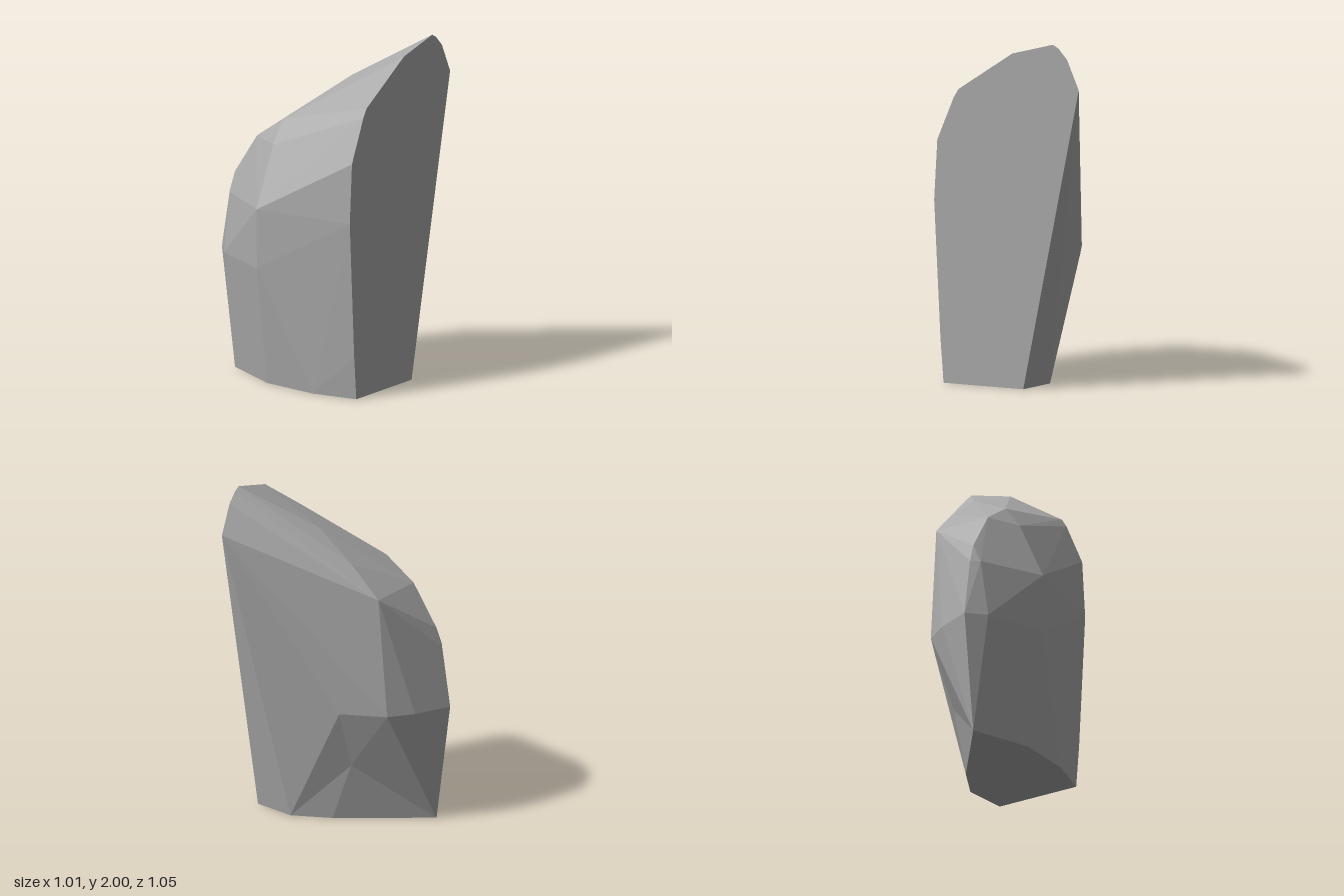
import * as THREE from 'three';
import { ConvexGeometry } from 'three/addons/geometries/ConvexGeometry.js';

export function createModel() {
  const group = new THREE.Group();
  group.name = 'halfRock';
  const stone = new THREE.MeshStandardMaterial({ color: 0xaaaaaa, flatShading: true });
  stone.name = 'grey stone';

  // Outline of the flat cut front face (x, y)
  const front = [
    [-0.36, 0], [-0.38, 0.26], [-0.42, 1.05], [-0.4, 1.4], [-0.295, 1.65], [-0.265, 1.7],
    [0.08, 1.93], [0.34, 2], [0.375, 1.98], [0.43, 1.92], [0.505, 1.75], [0.15, 0],
  ].map(([x, y]) => new THREE.Vector3(x, y, 0.525));

  // Rings of corners behind the cut, by height: [y, [x, z]...]
  const rings = [
    [0, [0.19, 0.27], [0.085, 0.05], [-0.26, -0.43], [-0.41, -0.08], [-0.42, 0.26]],
    [0.7, [0.204, -0.08], [0.085, -0.33], [-0.05, -0.43], [-0.26, -0.525], [-0.36, -0.43], [-0.505, -0.08]],
    [1.05, [-0.26, -0.465], [-0.31, -0.43], [-0.51, -0.08]],
    [1.16, [-0.26, -0.43]],
    [1.4, [0.085, -0.27], [-0.26, -0.27], [-0.355, -0.08]],
    [1.53, [-0.26, -0.08]],
    [1.58, [0.085, -0.08]],
    [1.75, [0.085, 0.14]],
  ];
  const back = rings.flatMap(([y, ...ring]) => ring.map(([x, z]) => new THREE.Vector3(x, y, z)));

  // A shallow dent: hull a raised corner, then press it inward
  const raised = new THREE.Vector3(0.115, 0.34, -0.095);
  const dent = new THREE.Vector3(0.085, 0.35, -0.08);
  const geometry = new ConvexGeometry([...front, ...back, raised]);
  const pos = geometry.attributes.position;
  const v = new THREE.Vector3();
  for (let i = 0; i < pos.count; i++) {
    if (v.fromBufferAttribute(pos, i).distanceTo(raised) < 1e-4) pos.setXYZ(i, dent.x, dent.y, dent.z);
  }
  geometry.computeVertexNormals();

  const rock = new THREE.Mesh(geometry, stone);
  rock.name = 'rock';
  group.add(rock);
  return group;
}
